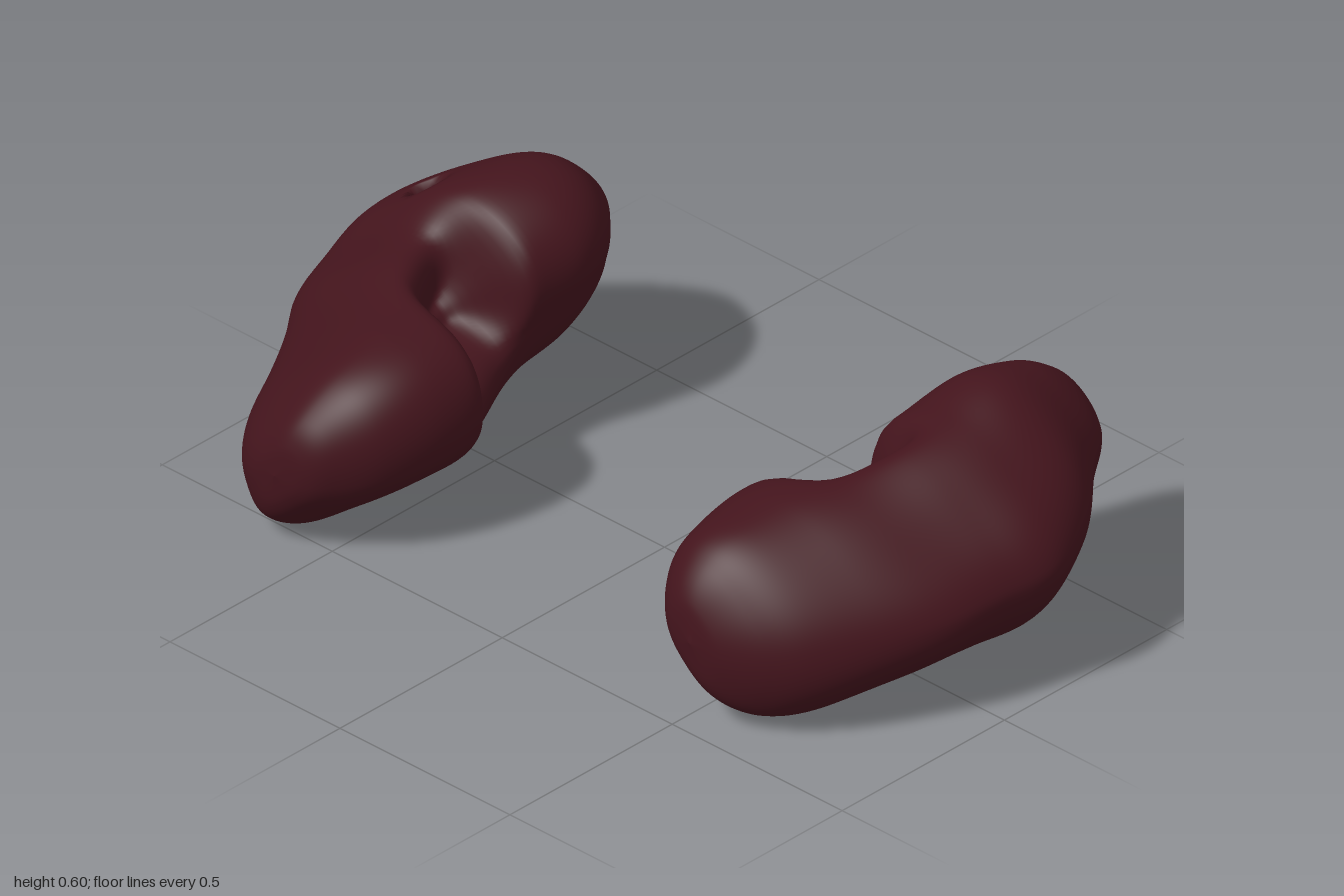
import * as THREE from 'three';

// Stations along x: [x, inner z, outer z, bottom y, top y]
const FRONT = [
  [-0.48, 0.53, 0.53, 0.21, 0.21], [-0.465, 0.46, 0.61, 0.11, 0.30], [-0.42, 0.41, 0.70, 0.05, 0.37],
  [-0.35, 0.375, 0.78, 0.025, 0.42], [-0.22, 0.36, 0.87, 0.03, 0.455], [-0.08, 0.38, 0.935, 0.045, 0.48],
  [0.05, 0.44, 0.97, 0.06, 0.51], [0.18, 0.475, 0.995, 0.08, 0.54], [0.32, 0.51, 0.94, 0.13, 0.57],
  [0.44, 0.55, 0.845, 0.21, 0.545], [0.52, 0.575, 0.79, 0.265, 0.5], [0.565, 0.595, 0.74, 0.3, 0.455],
  [0.585, 0.625, 0.7, 0.335, 0.42], [0.59, 0.66, 0.66, 0.38, 0.38],
];
const BACK = [
  [-0.595, -0.58, -0.58, 0.2, 0.2], [-0.585, -0.51, -0.65, 0.11, 0.28], [-0.55, -0.455, -0.71, 0.05, 0.345],
  [-0.47, -0.385, -0.775, 0.005, 0.415], [-0.35, -0.335, -0.83, 0.005, 0.46], [-0.22, -0.335, -0.905, 0.02, 0.48],
  [-0.13, -0.39, -0.96, 0.04, 0.495], [-0.02, -0.45, -0.995, 0.065, 0.51], [0.07, -0.45, -0.99, 0.09, 0.575],
  [0.19, -0.43, -0.955, 0.13, 0.6], [0.3, -0.465, -0.9, 0.17, 0.58], [0.39, -0.54, -0.82, 0.22, 0.51],
  [0.45, -0.605, -0.75, 0.28, 0.43], [0.47, -0.68, -0.68, 0.35, 0.35],
];

const bell = (d, w, power) => Math.exp(-Math.pow(Math.abs(d / w), power));

function kidneyGeometry(stations, { skew, flat, hilum, dimple }) {
  const N = 170, M = 130;
  const curve = (a, b, c) => new THREE.CatmullRomCurve3(
    stations.map((s) => new THREE.Vector3(s[a], s[b], s[c])), false, 'catmullrom', 0.5);
  const plan = curve(0, 1, 2), side = curve(0, 3, 4);
  const inward = Math.sign(stations[3][1] - stations[3][2]);
  const pos = [], index = [];

  for (let i = 0; i <= N; i++) {
    // closer rings at the rounded ends
    const t = (1 - Math.cos((Math.PI * i) / N)) / 2;
    const p = plan.getPoint(t), q = side.getPoint(t);
    const zc = (p.y + p.z) / 2, yc = (q.y + q.z) / 2;
    if (i === 0 || i === N) { pos.push(p.x, yc, zc); continue; }
    const rz = Math.abs(p.y - p.z) / 2, ry = Math.abs(q.z - q.y) / 2;
    const lowLobe = THREE.MathUtils.smoothstep(-p.x, 0, 0.35);
    // fuller lip below the hilum, slimmer underside on the low lobe
    const under = flat * 1.3 * lowLobe - 0.11 * bell(p.x - hilum.x, 0.17, 2);
    for (let j = 0; j < M; j++) {
      const a = (j / M) * Math.PI * 2;
      const c = Math.cos(a), s = Math.sin(a);
      const da = Math.atan2(Math.sin(a - hilum.angle), Math.cos(a - hilum.angle));
      // hollow of the hilum, flatter flanks and faint unevenness
      const pit = hilum.depth * bell(p.x - hilum.x, hilum.width, 4) * bell(da, hilum.spread, 4);
      const flank = (c < 0 ? flat : s < 0 ? under : 0) * Math.sin(2 * a) ** 2;
      const bumps = 0.014 * Math.sin(p.x * 17 + 2 * a) * Math.sin(3 * a - p.x * 9) * Math.sin(Math.PI * t);
      const k = 1 - pit - flank + bumps;
      // the crest leans inward, the underside outward
      const lean = skew * (ry / 0.23) * s * (s > 0 ? 1 : 0.4 + 0.7 * lowLobe);
      const z = zc + inward * k * (rz * c + lean);
      let y = yc + k * ry * s;
      // small round dimple in the upper surface
      if (dimple && s > 0) y -= 0.13 * bell(Math.hypot(p.x - dimple[0], z - dimple[1]), 0.03, 4);
      pos.push(p.x, y, z);
    }
  }

  const face = (a, b, c) => (inward > 0 ? index.push(a, b, c) : index.push(a, c, b));
  const last = pos.length / 3 - 1;
  const at = (i, j) => 1 + (i - 1) * M + (j % M);
  for (let j = 0; j < M; j++) {
    face(0, at(1, j), at(1, j + 1));
    face(last, at(N - 1, j + 1), at(N - 1, j));
    for (let i = 1; i < N - 1; i++) {
      face(at(i, j), at(i + 1, j), at(i, j + 1));
      face(at(i + 1, j), at(i + 1, j + 1), at(i, j + 1));
    }
  }
  const geo = new THREE.BufferGeometry();
  geo.setAttribute('position', new THREE.Float32BufferAttribute(pos, 3));
  geo.setIndex(index);
  geo.computeVertexNormals();
  return geo;
}

export function createModel() {
  const group = new THREE.Group();
  group.name = 'kidneys';
  const material = new THREE.MeshStandardMaterial({ color: 0x43141c });
  const add = (name, stations, options) => {
    const mesh = new THREE.Mesh(kidneyGeometry(stations, options), material);
    mesh.name = name;
    group.add(mesh);
  };
  add('frontKidney', FRONT, {
    skew: 0.06,
    flat: 0.06,
    hilum: { x: 0.01, width: 0.11, angle: 0.75, spread: 0.62, depth: 0.58 },
  });
  add('backKidney', BACK, {
    skew: 0.08,
    flat: 0.095,
    hilum: { x: -0.08, width: 0.1, angle: 0.82, spread: 0.7, depth: 0.6 },
    dimple: [0.11, -0.8],
  });
  return group;
}
